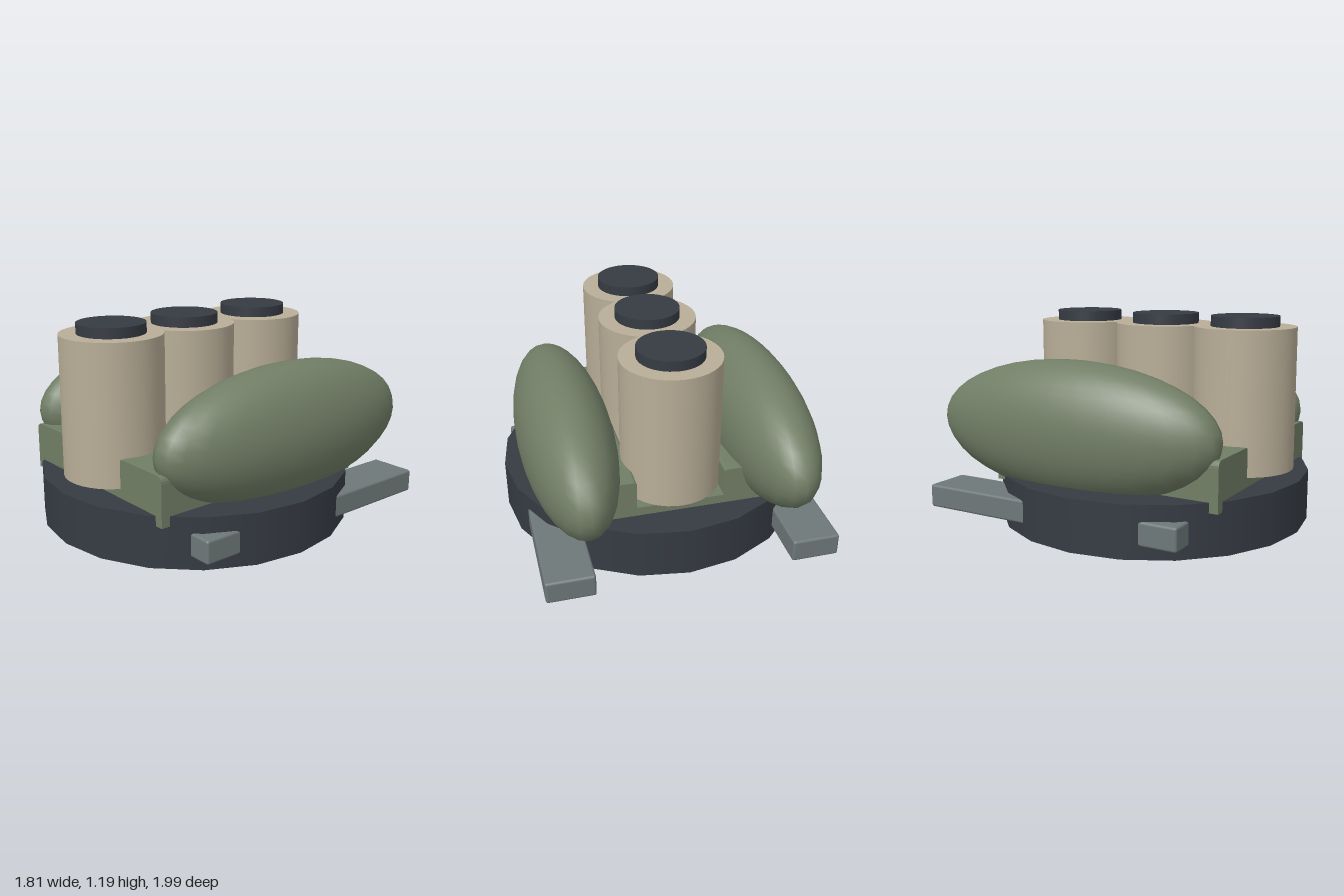
import * as THREE from 'three';
import { RoundedBoxGeometry } from 'three/addons/geometries/RoundedBoxGeometry.js';

const mat = (name, color) => {
  const m = new THREE.MeshStandardMaterial({ color });
  m.name = name;
  return m;
};

export function createModel() {
  const dark = mat('dark slate', 0x363b43);
  const green = mat('olive green', 0x717e66);
  const beige = mat('beige', 0xb8ad97);
  const grey = mat('steel grey', 0x6e7879);

  const model = new THREE.Group();
  model.name = 'model';
  const add = (name, geometry, material, x, y, z) => {
    const mesh = new THREE.Mesh(geometry, material);
    mesh.name = name;
    mesh.position.set(x, y, z);
    model.add(mesh);
    return mesh;
  };

  // Round base
  add('base', new THREE.CylinderGeometry(0.905, 0.905, 0.29, 20), dark, 0, 0.145, 0.09);

  // Cradle: a channel with rounded shoulders, run front to back
  const w = 0.61, top = 0.51, floor = 0.342, slot = 0.25, r = 0.04, s = 0.02;
  const profile = new THREE.Shape();
  profile.moveTo(-w, 0.235);
  profile.lineTo(w, 0.235);
  profile.lineTo(w, top - r);
  profile.quadraticCurveTo(w, top, w - r, top);
  profile.lineTo(slot + s, top);
  profile.quadraticCurveTo(slot, top, slot, top - s);
  profile.lineTo(slot, floor);
  profile.lineTo(-slot, floor);
  profile.lineTo(-slot, top - s);
  profile.quadraticCurveTo(-slot, top, -slot - s, top);
  profile.lineTo(-w + r, top);
  profile.quadraticCurveTo(-w, top, -w, top - r);
  profile.closePath();
  add('cradle', new THREE.ExtrudeGeometry(profile, { depth: 1.405, bevelEnabled: false, curveSegments: 5 }),
    green, 0, 0, -0.61);

  // Row of three canisters with dark caps
  const canister = new THREE.CylinderGeometry(0.285, 0.285, 0.787, 40);
  const cap = new THREE.CylinderGeometry(0.19, 0.19, 0.08, 40);
  ['rear', 'middle', 'front'].forEach((place, i) => {
    const z = [-0.365, 0.16, 0.658][i];
    add(place + 'Canister', canister, beige, 0, 0.7365, z);
    add(place + 'Cap', cap, dark, 0, 1.148, z);
  });

  // Side pods and the skid bars passing through the base
  const pod = new THREE.SphereGeometry(1, 28, 20);
  pod.scale(0.27, 0.38, 0.896);
  const bar = new RoundedBoxGeometry(0.27, 0.132, 1.615, 2, 0.014);
  for (const [side, sx] of [['left', 1], ['right', -1]]) {
    add(side + 'Pod', pod, green, sx * 0.565, 0.576, -0.104);
    add(side + 'Skid', bar, grey, sx * 0.683, 0.136, -0.138);
  }
  return model;
}
